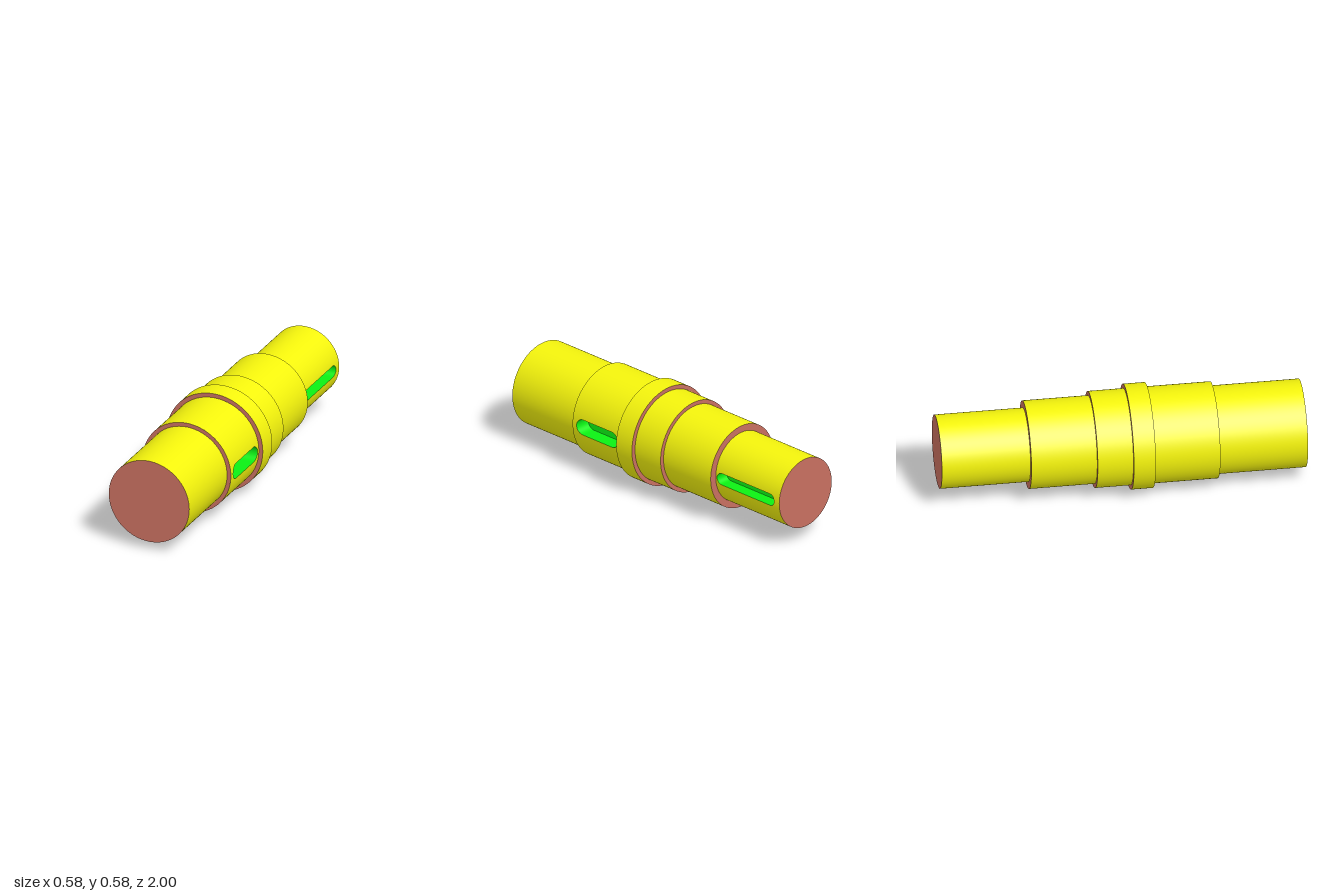
import * as THREE from 'three';
import { mergeGeometries } from 'three/addons/utils/BufferGeometryUtils.js';

const SEG = 96;
const AXIS_Y = 0.288;
const paint = (color) => new THREE.MeshStandardMaterial({ color });
const yellow = paint(0xf4f40c), green = paint(0x0cf014), brown = paint(0xc87060);

// Steps of the shaft from front to back; slot = keyway on the +x side
const steps = [
  { name: 'frontJournal', z1: 1, z0: 0.517, r: 0.241 },
  { name: 'frontSeat', z1: 0.517, z0: 0.16, r: 0.264, slot: { z1: 0.487, z0: 0.175, hw: 0.045, depth: 0.09 } },
  { name: 'collar', z1: 0.16, z0: 0.04, r: 0.288 },
  { name: 'middleSeat', z1: 0.04, z0: -0.155, r: 0.264 },
  { name: 'rearSeat', z1: -0.155, z0: -0.515, r: 0.241 },
  { name: 'rearJournal', z1: -0.515, z0: -1, r: 0.202, slot: { z1: -0.96, z0: -0.525, hw: 0.034, depth: 0.075 } },
].map((s) => {
  if (s.slot && s.slot.z1 < s.slot.z0) [s.slot.z0, s.slot.z1] = [s.slot.z1, s.slot.z0];
  return s;
});

// Surface ruled between two lines of points, with a normal per pair
function ruled(a, b, normals) {
  const pos = [], nor = [], uv = [], idx = [];
  a.forEach((p, i) => {
    pos.push(...p, ...b[i]);
    nor.push(...normals[i], ...normals[i]);
    uv.push(0, i, 1, i);
    const k = 2 * i;
    if (i < a.length - 1) idx.push(k, k + 1, k + 2, k + 1, k + 3, k + 2);
  });
  const g = new THREE.BufferGeometry();
  g.setAttribute('position', new THREE.Float32BufferAttribute(pos, 3));
  g.setAttribute('normal', new THREE.Float32BufferAttribute(nor, 3));
  g.setAttribute('uv', new THREE.Float32BufferAttribute(uv, 2));
  g.setIndex(idx);
  return g;
}

// Round side of one step, left open where a keyway enters
function stepSide({ z0, z1, r, slot }) {
  const half = slot ? Math.asin(slot.hw / r) : 0;
  const side = new THREE.CylinderGeometry(r, r, z1 - z0, SEG, 1, true, Math.PI / 2 + half, 2 * (Math.PI - half))
    .rotateX(Math.PI / 2).translate(0, 0, (z0 + z1) / 2);
  if (!slot) return side;
  const front = [], slotFront = [], slotBack = [], back = [], normals = [];
  const n = 24;
  for (let i = 0; i <= n; i++) {
    const y = -slot.hw * Math.cos((Math.PI * i) / n);
    const x = Math.sqrt(r * r - y * y);
    const bulge = Math.sqrt(Math.max(0, slot.hw ** 2 - y * y));
    front.push([x, y, z1]);
    slotFront.push([x, y, slot.z1 - slot.hw + bulge]);
    slotBack.push([x, y, slot.z0 + slot.hw - bulge]);
    back.push([x, y, z0]);
    normals.push([x / r, y / r, 0]);
  }
  return mergeGeometries([side, ruled(front, slotFront, normals), ruled(slotBack, back, normals)]);
}

// Walls and flat floor of a round-ended keyway
function keyway({ r, slot }) {
  const { z0, z1, hw, depth } = slot;
  const floorX = r - depth, n = 24;
  const rim = [], foot = [], normals = [], outline = [];
  for (const [centre, start] of [[z1 - hw, -Math.PI / 2], [z0 + hw, Math.PI / 2]]) {
    for (let i = 0; i <= n; i++) {
      const t = start + (Math.PI * i) / n;
      const y = hw * Math.sin(t), z = centre + hw * Math.cos(t);
      rim.push([Math.sqrt(r * r - y * y), y, z]);
      foot.push([floorX, y, z]);
      normals.push([0, -Math.sin(t), -Math.cos(t)]);
      outline.push(new THREE.Vector2(z - (z0 + z1) / 2, y));
    }
  }
  for (const list of [rim, foot, normals]) list.push(list[0]);
  const floor = new THREE.ShapeGeometry(new THREE.Shape(outline))
    .rotateY(Math.PI / 2).translate(floorX, 0, (z0 + z1) / 2);
  return mergeGeometries([ruled(rim, foot, normals), floor]);
}

export function createModel() {
  const shaft = new THREE.Group();
  shaft.name = 'steppedShaft';
  const add = (name, geometry, material) => {
    const mesh = new THREE.Mesh(geometry, material);
    mesh.name = name;
    mesh.position.y = AXIS_Y;
    shaft.add(mesh);
  };

  for (const step of steps) {
    add(step.name, stepSide(step), yellow);
    if (step.slot) add(step.name + 'Keyway', keyway(step), green);
  }

  // End faces and the shoulders between steps
  add('frontEnd', new THREE.CircleGeometry(steps[0].r, SEG).translate(0, 0, 1), brown);
  add('rearEnd', new THREE.CircleGeometry(steps.at(-1).r, SEG).rotateY(Math.PI).translate(0, 0, -1), brown);
  for (let i = 1; i < steps.length; i++) {
    const a = steps[i - 1].r, b = steps[i].r;
    const ring = new THREE.RingGeometry(Math.min(a, b), Math.max(a, b), SEG);
    if (a > b) ring.rotateY(Math.PI);
    add('shoulder' + i, ring.translate(0, 0, steps[i].z1), brown);
  }
  return shaft;
}
